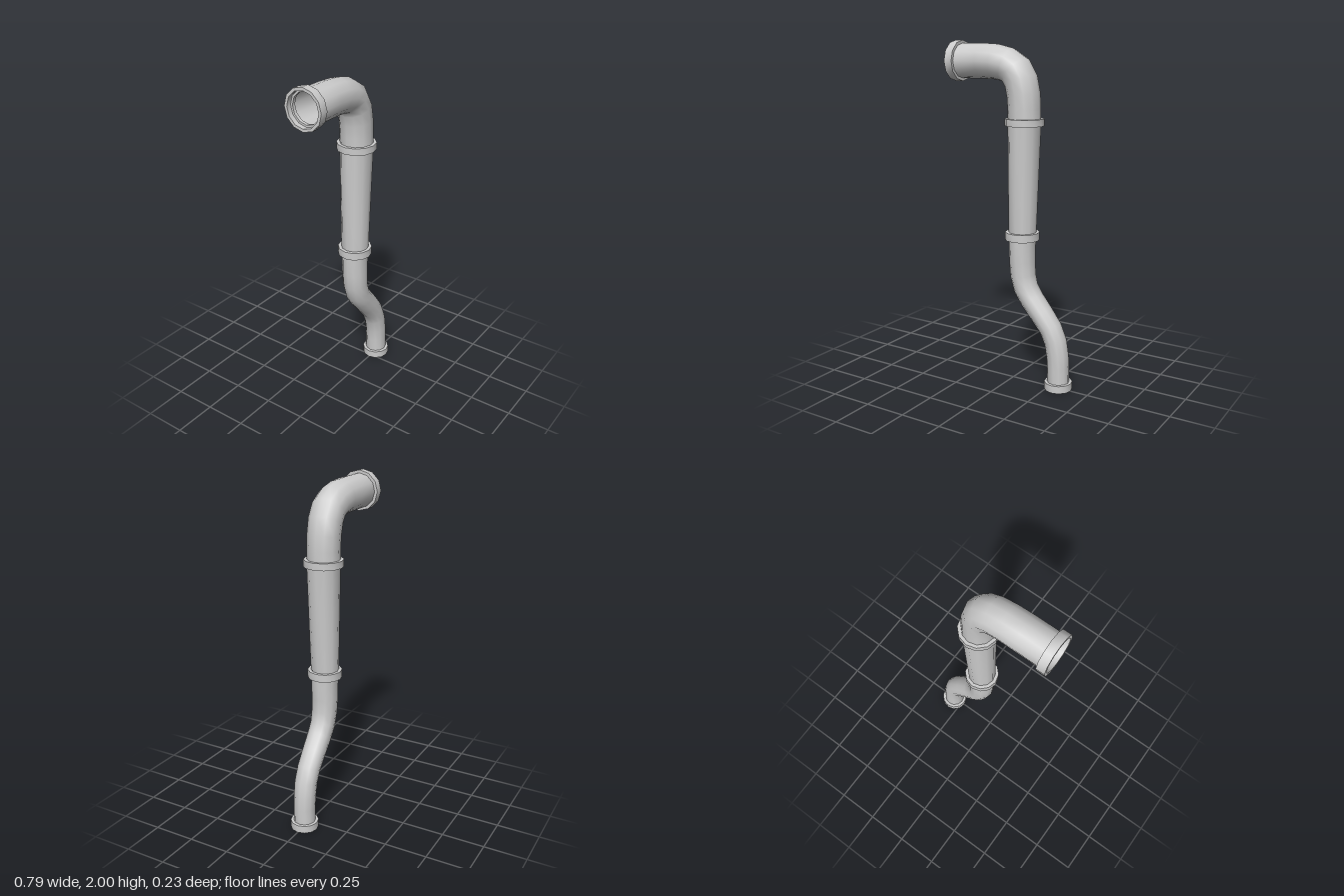
import * as THREE from 'three';
import { toCreasedNormals } from 'three/addons/utils/BufferGeometryUtils.js';

const SIDES = 12;
const material = new THREE.MeshStandardMaterial({ color: 0xcccccc, side: THREE.DoubleSide });

// Sweeps a ring along stations [x, y, radius] lying in the z = 0 plane.
function pipe(name, stations) {
  const positions = [], index = [];
  stations.forEach(([x, y, r], i) => {
    const a = stations[Math.max(i - 1, 0)];
    const b = stations[Math.min(i + 1, stations.length - 1)];
    const t = new THREE.Vector2(b[0] - a[0], b[1] - a[1]).normalize();
    for (let j = 0; j < SIDES; j++) {
      const angle = (j / SIDES) * Math.PI * 2;
      const c = Math.cos(angle) * r;
      positions.push(x - t.y * c, y + t.x * c, Math.sin(angle) * r);
      if (i < stations.length - 1) {
        const p = i * SIDES + j, q = i * SIDES + ((j + 1) % SIDES);
        index.push(p, q, p + SIDES, q, q + SIDES, p + SIDES);
      }
    }
  });
  const geometry = new THREE.BufferGeometry();
  geometry.setAttribute('position', new THREE.Float32BufferAttribute(positions, 3));
  geometry.setIndex(index);
  geometry.computeVertexNormals();
  const mesh = new THREE.Mesh(geometry, material);
  mesh.name = name;
  return mesh;
}

// Ring around the y axis, from y = 0 to y = height; the end collars have a stepped socket inside.
function collar(name, x, y, radius, inner, height, lip = inner) {
  const profile = [
    [radius, 0], [radius, height], [lip, height], [lip, height * 0.6],
    [inner, height * 0.6], [inner, 0], [radius, 0],
  ].map(([r, h]) => new THREE.Vector2(r, h));
  const geometry = toCreasedNormals(new THREE.LatheGeometry(profile, SIDES), Math.PI / 4);
  const mesh = new THREE.Mesh(geometry, material);
  mesh.name = name;
  mesh.position.set(x, y, 0);
  return mesh;
}

export function createModel() {
  const group = new THREE.Group();
  group.name = 'drainPipe';

  // Lower pipe: an S-bend rising from the bottom collar
  group.add(pipe('lowerPipe', [
    [0.309, 0.03, 0.064], [0.308, 0.13, 0.064], [0.303, 0.2, 0.065], [0.288, 0.285, 0.066],
    [0.255, 0.36, 0.067], [0.195, 0.437, 0.069], [0.13, 0.515, 0.071], [0.088, 0.578, 0.073],
    [0.067, 0.655, 0.075], [0.062, 0.74, 0.077], [0.061, 0.89, 0.078],
  ]));

  // Middle pipe: straight and widening upwards
  group.add(pipe('middlePipe', [[0.061, 0.88, 0.08], [0.073, 1.56, 0.095]]));

  // Upper pipe: elbow turning to the side
  group.add(pipe('upperPipe', [
    [0.073, 1.55, 0.094], [0.072, 1.62, 0.094], [0.067, 1.7, 0.095], [0.05, 1.778, 0.096],
    [0.015, 1.836, 0.097], [-0.035, 1.865, 0.098], [-0.11, 1.881, 0.099],
    [-0.2, 1.885, 0.1], [-0.36, 1.885, 0.1],
  ]));

  // Collars at the joints and open ends
  group.add(collar('bottomCollar', 0.309, 0, 0.082, 0.068, 0.045, 0.056));
  group.add(collar('lowerJointCollar', 0.061, 0.87, 0.1, 0.074, 0.046));
  group.add(collar('upperJointCollar', 0.073, 1.53, 0.113, 0.088, 0.04));
  const endCollar = collar('topCollar', -0.395, 1.885, 0.117, 0.1, 0.05, 0.088);
  endCollar.rotation.z = -Math.PI / 2;
  group.add(endCollar);

  return group;
}
